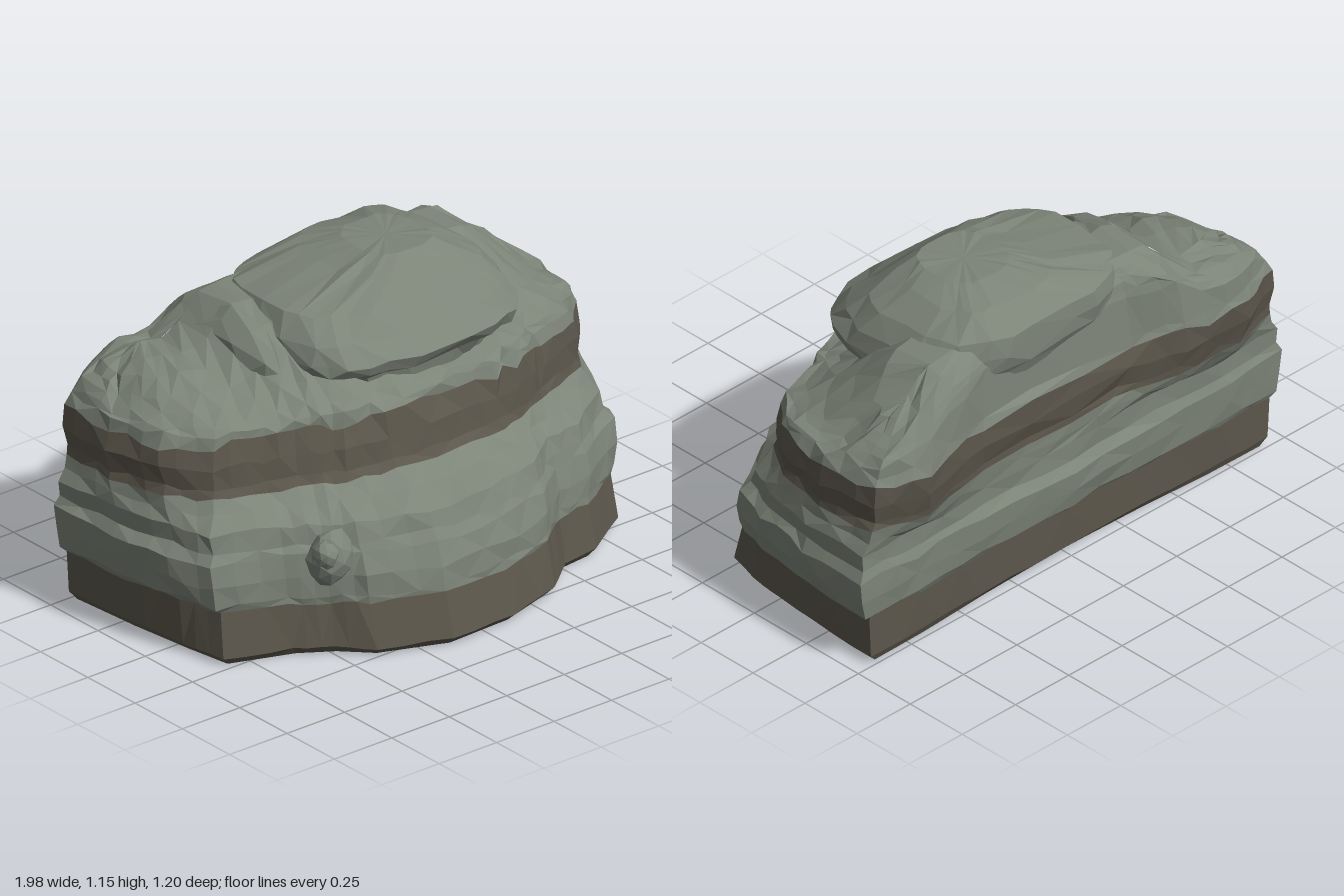
import * as THREE from 'three';

// Plan outlines as x, z pairs: right back corner, forward, across the front, round the back
const BASE = [.93, -.49, .92, -.2, .9, .06, .85, .25, .65, .38, .5, .4, .35, .52, .12, .59, -.15, .6, -.4, .5, -.5, .4,
  -.62, .32, -.85, .23, -.88, .05, -.91, -.2, -.93, -.49, -.7, -.49, -.4, -.48, 0, -.48, .4, -.48, .7, -.49];
const MIDDLE = [.97, -.49, .97, -.22, .92, 0, .86, .13, .65, .28, .5, .3, .36, .4, .12, .47, -.15, .47, -.4, .38, -.5, .32,
  -.62, .25, -.84, .15, -.89, 0, -.95, -.22, -.96, -.49, -.7, -.5, -.4, -.49, 0, -.49, .4, -.49, .7, -.5];
const UPPER = [.92, -.51, .95, -.28, .92, -.07, .79, .08, .6, .14, .48, .2, .32, .23, .1, .23, -.15, .23, -.3, .2, -.42, .16,
  -.58, .11, -.75, .06, -.88, -.07, -.94, -.28, -.92, -.51, -.74, -.59, -.47, -.58, -.28, -.5, .42, -.51, .73, -.58];
const SUB = 3, CORNERS = BASE.length / 2, COLS = CORNERS * SUB;

// Height of the crown along x
const CROWN = [[-.96, .78], [-.88, .84], [-.8, .88], [-.68, .92], [-.58, .9], [-.5, .95], [-.42, 1.03], [-.3, 1.04],
  [-.1, 1.05], [.4, 1.04], [.62, 1.02], [.7, .94], [.84, .86], [.96, .78]];

function table(rows, x) {
  let i = 0;
  while (i < rows.length - 2 && x > rows[i + 1][0]) i++;
  const [x0, y0] = rows[i], [x1, y1] = rows[i + 1];
  return THREE.MathUtils.lerp(y0, y1, THREE.MathUtils.clamp((x - x0) / (x1 - x0), 0, 1));
}

// Repeatable jitter from -1 to 1
function jitter(a, b, c) {
  const s = Math.sin(a * 127.1 + b * 311.7 + c * 74.7) * 43758.5453;
  return (s - Math.floor(s)) * 2 - 1;
}

function outlinePoint(outline, col) {
  const i = Math.floor(col / SUB), j = (i + 1) % CORNERS, f = (col % SUB) / SUB;
  return [0, 1].map(k => THREE.MathUtils.lerp(outline[i * 2 + k], outline[j * 2 + k], f));
}

// Outline blended between base (0), middle (1) and upper (2)
function blended(s, col) {
  const [a, b] = s < 1 ? [BASE, MIDDLE] : [MIDDLE, UPPER];
  const f = s < 1 ? s : s - 1, p = outlinePoint(a, col), q = outlinePoint(b, col);
  return [p[0] + (q[0] - p[0]) * f, p[1] + (q[1] - p[1]) * f];
}

function faceted(triangles) {
  const g = new THREE.BufferGeometry().setFromPoints(triangles);
  g.computeVertexNormals();
  return g;
}

// Faceted skin over a stack of rings, optionally closed at either end
function skin(rings, bottom, top) {
  const t = [], n = rings[0].length;
  const middle = r => r.reduce((s, p) => s.add(p), new THREE.Vector3()).divideScalar(n);
  for (let i = 0; i < rings.length - 1; i++) {
    for (let j = 0; j < n; j++) {
      const k = (j + 1) % n, a = rings[i][j], b = rings[i][k], c = rings[i + 1][k], d = rings[i + 1][j];
      if ((i + j) % 2) t.push(a, d, b, b, d, c);
      else t.push(a, d, c, a, c, b);
    }
  }
  const lo = rings[0], hi = rings[rings.length - 1];
  for (let j = 0; j < n; j++) {
    const k = (j + 1) % n;
    if (bottom) t.push(middle(lo), lo[j], lo[k]);
    if (top) t.push(middle(hi), hi[k], hi[j]);
  }
  return faceted(t);
}

export function createModel() {
  const group = new THREE.Group();
  const stone = new THREE.MeshStandardMaterial({ color: 0x7c8377 });
  stone.name = 'grey stone';
  const earth = new THREE.MeshStandardMaterial({ color: 0x5b564b });
  earth.name = 'brown stone';
  const add = (name, geometry, material) => {
    const mesh = new THREE.Mesh(geometry, material);
    mesh.name = name;
    group.add(mesh);
    return mesh;
  };

  // Strata: height, outline blend, outward bulge, roughness
  const levels = [[0, 0, -.03, 0], [.03, 0, 0, .3], [.185, .33, -.005, .6], [.21, .4, .02, .7], [.28, .5, .035, .8],
    [.36, .7, .035, .8], [.395, .82, .005, .7], [.46, 1, .005, .8], [.505, 1.42, 0, .8], [.545, 1.7, 0, .7],
    [.575, 1.78, -.005, .7], [.65, 1.88, .015, .8], [.725, 2, .005, 1.5], [.765, 2, -.01, 1]];
  const rings = levels.map(([y, s, out, rough], row) => {
    const ring = [];
    for (let col = 0; col < COLS; col++) {
      const [x, z] = blended(s, col), len = Math.hypot(x, z + .1);
      // The layers bulge at the ends and back, hardly at the front
      const bulge = z > 0 && out > 0 ? out * THREE.MathUtils.lerp(.2, 1, THREE.MathUtils.smoothstep(Math.abs(x), .6, .9)) : out;
      // Vertical ribs run through all layers, with finer chips per layer
      const push = bulge + rough * (.006 * jitter(Math.floor(col / 2), 3, 1) + .008 * jitter(col, row, 2));
      ring.push(new THREE.Vector3(x + x / len * push, y + rough * .012 * jitter(col, row, 5),
        z + (z + .1) / len * push));
    }
    return ring;
  });

  // Crown rings close in on a ridge near the back: sheer rear, full left shoulder, sloping right shoulder
  const crown = [rings[rings.length - 1]];
  for (const t of [.06, .16, .3, .48, .7, 1]) {
    crown.push(crown[0].map((p, col) => {
      const x = p.x * (1 - .25 * t), z = THREE.MathUtils.lerp(p.z, -.42, t);
      const full = Math.sin(Math.min(1, 1.4 * t) * Math.PI / 2), sloping = THREE.MathUtils.smoothstep(t, 0, .8);
      const rise = p.z < -.35 ? Math.pow(t, .22)
        : THREE.MathUtils.lerp(full, sloping, THREE.MathUtils.smoothstep(x, -.3, .3));
      const rough = t < 1 ? .008 : 0;
      return new THREE.Vector3(x + rough * jitter(col, t, 6),
        .765 + (table(CROWN, x) - .765) * rise + rough * jitter(col, t, 7), z + rough * jitter(col, t, 8));
    }));
  }

  add('footBand', skin(rings.slice(0, 3), true, false), earth);
  add('lowerRock', skin(rings.slice(2, 10), false, false), stone);
  add('middleBand', skin(rings.slice(9, 13), false, false), earth);
  add('upperRock', skin([rings[12], ...crown], false, false), stone);

  // Overhanging cap: height, left and right x, back and front z
  const cap = [[.77, -.26, .48, -.44, .15], [.84, -.31, .53, -.47, .17], [.865, -.36, .57, -.49, .225],
    [.91, -.37, .58, -.51, .24], [.97, -.37, .56, -.52, .17], [1.04, -.32, .51, -.51, .09],
    [1.11, -.06, .41, -.43, .01], [1.145, .05, .32, -.31, -.03]];
  const square = v => Math.sign(v) * Math.pow(Math.abs(v), .65);
  add('capRock', skin(cap.map(([y, x0, x1, z0, z1], row) => Array.from({ length: 30 }, (_, j) => {
    const a = j / 30 * Math.PI * 2, r = row < 7 ? .011 : .004;
    return new THREE.Vector3((x0 + x1) / 2 + (x1 - x0) / 2 * square(Math.cos(a)) + r * jitter(j, row, 11),
      y + r * .8 * jitter(j, row, 12), (z0 + z1) / 2 + (z1 - z0) / 2 * square(Math.sin(a)) + r * jitter(j, row, 13));
  })), true, true), stone);

  // Rough lumps: centre, radii
  const lumps = [['leftRidgeRock', -.42, .87, -.25, .09, .16, .28], ['frontCrag', -.49, .35, .36, .085, .1, .07],
    ['cragChip', -.53, .38, .38, .045, .05, .05]];
  lumps.forEach(([name, x, y, z, rx, ry, rz], n) => {
    const g = new THREE.IcosahedronGeometry(1, 1), p = g.attributes.position, v = new THREE.Vector3();
    for (let i = 0; i < p.count; i++) {
      v.fromBufferAttribute(p, i);
      const key = [v.x, v.y, v.z].map(c => Math.round(c * 20));
      v.multiplyScalar(1 + .1 * jitter(key[0] + n, key[1], key[2]));
      p.setXYZ(i, v.x * rx, v.y * ry, v.z * rz);
    }
    g.computeVertexNormals();
    add(name, g, stone).position.set(x, y, z);
  });
  return group;
}
